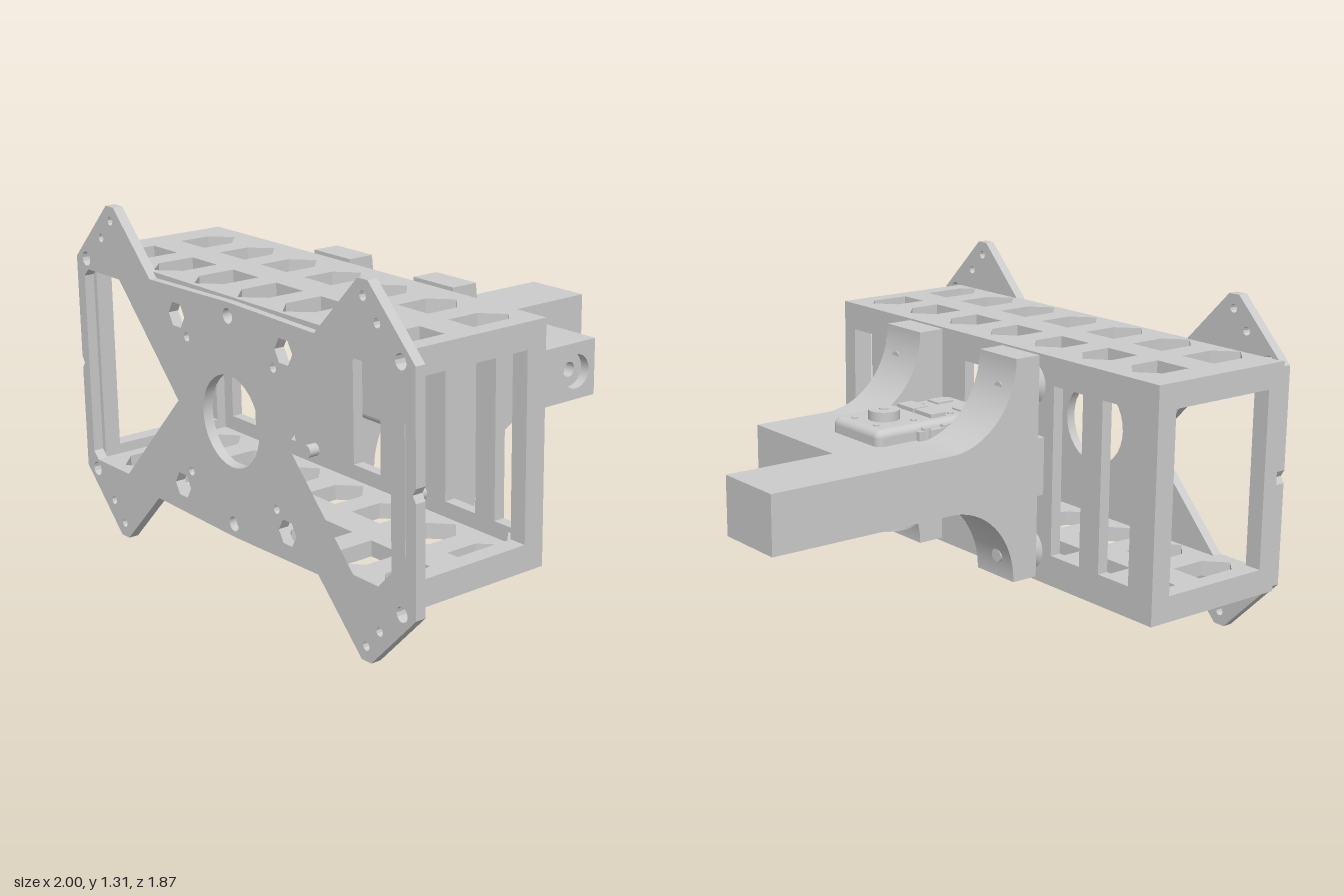
import * as THREE from 'three';
import { toCreasedNormals } from 'three/addons/utils/BufferGeometryUtils.js';
import { RoundedBoxGeometry } from 'three/addons/geometries/RoundedBoxGeometry.js';

const CY = 0.655; // mid height of the cage
const CELLS = [-0.795, -0.53, -0.265, 0, 0.26, 0.525, 0.785]; // lattice columns

export function createModel() {
  const model = new THREE.Group();
  const mat = new THREE.MeshStandardMaterial({ color: 0xcccccc });

  const add = (name, geo, x = 0, y = 0, z = 0, parent = model) => {
    const m = new THREE.Mesh(geo, mat);
    m.name = name;
    m.position.set(x, y, z);
    parent.add(m);
    return m;
  };
  const box = (name, x0, x1, y0, y1, z0, z1, parent) =>
    add(name, new THREE.BoxGeometry(x1 - x0, y1 - y0, z1 - z0),
      (x0 + x1) / 2, (y0 + y1) / 2, (z0 + z1) / 2, parent);
  const poly = (pts) => new THREE.Shape(pts.map(([a, b]) => new THREE.Vector2(a, b)));
  const rect = (a0, a1, b0, b1) => poly([[a0, b0], [a1, b0], [a1, b1], [a0, b1]]);
  const disc = (x, y, r, n = 16) => poly(Array.from({ length: n }, (_, i) => {
    const t = (i / n) * Math.PI * 2;
    return [x + r * Math.cos(t), y + r * Math.sin(t)];
  }));
  const extrude = (shape, depth, holes = []) => {
    shape.holes = holes;
    const g = new THREE.ExtrudeGeometry(shape, { depth, bevelEnabled: false, curveSegments: 20 });
    return toCreasedNormals(g, 0.5);
  };
  // shape (x, z), thickness downwards from y
  const panel = (name, shape, holes, y, t) =>
    add(name, extrude(shape, t, holes).rotateX(Math.PI / 2), 0, y, 0);
  // shape (z, y), thickness towards -x from x
  const slab = (name, shape, holes, x, t) =>
    add(name, extrude(shape, t, holes).rotateY(-Math.PI / 2), x, 0, 0);

  // Front plate: bow-tie outline with wing openings and fixing holes
  const quarter = [[0.49, 1.08], [0.72, 1.31], [0.77, 1.31], [1, 1.08]];
  const flipY = ([x, y]) => [x, 1.31 - y];
  const flipX = ([x, y]) => [-x, y];
  const rightSide = [...quarter, [1, 0.68], [0.985, 0.655], [1, 0.63], ...quarter.map(flipY).reverse()];
  const outline = poly([[0, 1.09], ...rightSide, [0, 0.22], ...rightSide.map(flipX).reverse()]);
  const opening = (c, s) => poly([
    [0.33, CY], [0.7, 1.04], [0.95 - c, 1.04], [0.95, 1.04 - c],
    [0.95, 0.27 + c], [0.95 - c, 0.27], [0.7, 0.27],
  ].map(([x, y]) => [x * s, y]));
  const plateHoles = [disc(0, CY, 0.17, 32), disc(0, 1.04, 0.028), disc(0, 0.27, 0.028),
    opening(0.16, 1), opening(0.03, -1)];
  for (const s of [-1, 1]) {
    for (const [x, y, r, n] of [[0.32, 0.98, 0.05, 6], [0.26, 0.91, 0.017, 10],
      [0.93, 1.08, 0.028, 12], [0.745, 1.255, 0.017, 10], [0.815, 1.18, 0.017, 10]]) {
      plateHoles.push(disc(s * x, y, r, n), disc(s * x, 1.31 - y, r, n));
    }
  }
  add('frontPlate', extrude(outline, 0.04, plateHoles), 0, 0, 0.89);

  // Cage: top and bottom panels with two rows of arrow-shaped holes
  const arrowHoles = () => CELLS.flatMap((c) => {
    const a = c - 0.08;
    const b = Math.min(c + 0.08, 0.83);
    return [
      poly([[a, 0.535], [b, 0.535], [b, 0.405 + (b < c + 0.08 ? -0.03 : 0)], [c, 0.335], [a, 0.405]]),
      poly([[a, 0.66], [b, 0.66], [b, 0.81 + (b < c + 0.08 ? 0.03 : 0)], [c, 0.885], [a, 0.81]]),
    ];
  });
  // the last column stops at the end wall, so keep the panel edge beyond it
  panel('topPanel', rect(-1, 0.9, 0.27, 0.9), arrowHoles(), 1.1, 0.06);
  panel('bottomPanel', rect(-1, 0.9, 0.27, 0.9), arrowHoles(), 0.27, 0.06);

  // Cage: back wall with tall slots
  const slots = CELLS.filter((c) => Math.abs(c) < 0.1 || Math.abs(c) > 0.4)
    .map((c) => rect(c - 0.08, Math.min(c + 0.08, 0.83), 0.33, 0.99));
  add('backWall', extrude(rect(-1, 0.9, 0.25, 1.06), 0.045, slots), 0, 0, 0.27);

  // Cage: open end frames and corner gussets
  for (const [x, name] of [[0.9, 'leftEndFrame'], [-0.93, 'rightEndFrame']]) {
    slab(name, rect(0.27, 0.89, 0.21, 1.1), [rect(0.355, 0.824, 0.31, 1.003)], x, 0.07);
  }
  for (const y of [0.31, 1.04]) {
    panel('cornerGusset', poly([[0.83, 0.31], [0.77, 0.31], [0.83, 0.37]]), [], y, 0.04);
  }

  // Rear bracket: flange that sweeps down through concave fillets into a flat arm
  const sideProfile = () => {
    const s = new THREE.Shape();
    s.moveTo(0.24, 0.24);
    s.lineTo(0.24, 0.56);
    s.lineTo(0.27, 0.56);
    s.lineTo(0.27, 0.785);
    s.lineTo(0.24, 0.785);
    s.lineTo(0.24, 1.103);
    s.lineTo(0.13, 1.103);
    s.absellipse(-0.17, 1.103, 0.3, 0.318, 0, -Math.PI / 2, true);
    s.lineTo(-0.49, 0.785);
    s.lineTo(-0.49, 0.56);
    s.lineTo(-0.17, 0.56);
    s.absellipse(-0.17, 0.24, 0.3, 0.32, Math.PI / 2, 0, true);
    return s;
  };
  slab('bracketSide', sideProfile(), [], -0.185, 0.215);
  slab('bracketSide', sideProfile(), [disc(-0.39, 0.67, 0.03)], 0.36, 0.175);
  slab('bracketSideCounterbore', sideProfile(), [disc(-0.39, 0.67, 0.068, 24)], 0.4, 0.04);
  box('bracketCore', -0.185, 0.185, 0.56, 0.785, -0.49, 0.27);
  box('longArm', -0.4, -0.11, 0.56, 0.785, -0.94, -0.49);

  // Conical spacers and bolts between bracket and cage
  for (const x of [-0.32, 0.32]) {
    for (const y of [0.33, 0.98]) {
      add('spacer', new THREE.CylinderGeometry(0.05, 0.085, 0.035, 24).rotateX(Math.PI / 2), x, y, 0.255)
        .rotation.y = Math.PI;
      add('bolt', new THREE.CylinderGeometry(0.026, 0.026, 0.25, 16).rotateX(Math.PI / 2), x, y, 0.235);
    }
  }

  // Servo lying in the bracket channel
  const servo = new THREE.Group();
  servo.name = 'servo';
  model.add(servo);
  add('servoBody', new RoundedBoxGeometry(0.3, 0.36, 0.56, 3, 0.03), 0, 0.665, -0.035, servo);
  box('servoFlange', -0.17, 0.17, 0.51, 0.82, -0.14, 0.24, servo);
  add('servoTopHub', new THREE.CylinderGeometry(0.06, 0.06, 0.04, 32), 0, 0.862, -0.18, servo);
  add('servoTopHubCap', new THREE.CylinderGeometry(0.018, 0.018, 0.05, 16), 0, 0.862, -0.18, servo);
  add('servoHorn', new THREE.CylinderGeometry(0.122, 0.122, 0.045, 40), 0, 0.458, -0.18, servo);
  add('servoHornBoss', new THREE.CylinderGeometry(0.035, 0.035, 0.012, 24), 0, 0.433, -0.18, servo);
  for (const s of [-1, 1]) {
    box('connector', s * 0.057 - 0.052, s * 0.057 + 0.052, 0.83, 0.86, -0.04, 0.03, servo);
    box('casePad', s * 0.078 - 0.033, s * 0.078 + 0.033, 0.83, 0.852, 0.11, 0.185, servo);
    for (const z of [-0.1, -0.01, 0.08, 0.17]) {
      add('edgeScrew', new THREE.CylinderGeometry(0.018, 0.018, 0.32, 12), s * 0.155, 0.67, z, servo);
    }
    for (const [x, z] of [[0.07, -0.265], [0.09, -0.11], [0.09, 0.065]]) {
      add('caseScrew', new THREE.CylinderGeometry(0.012, 0.012, 0.37, 10), s * x, 0.665, z, servo);
    }
  }
  return model;
}
